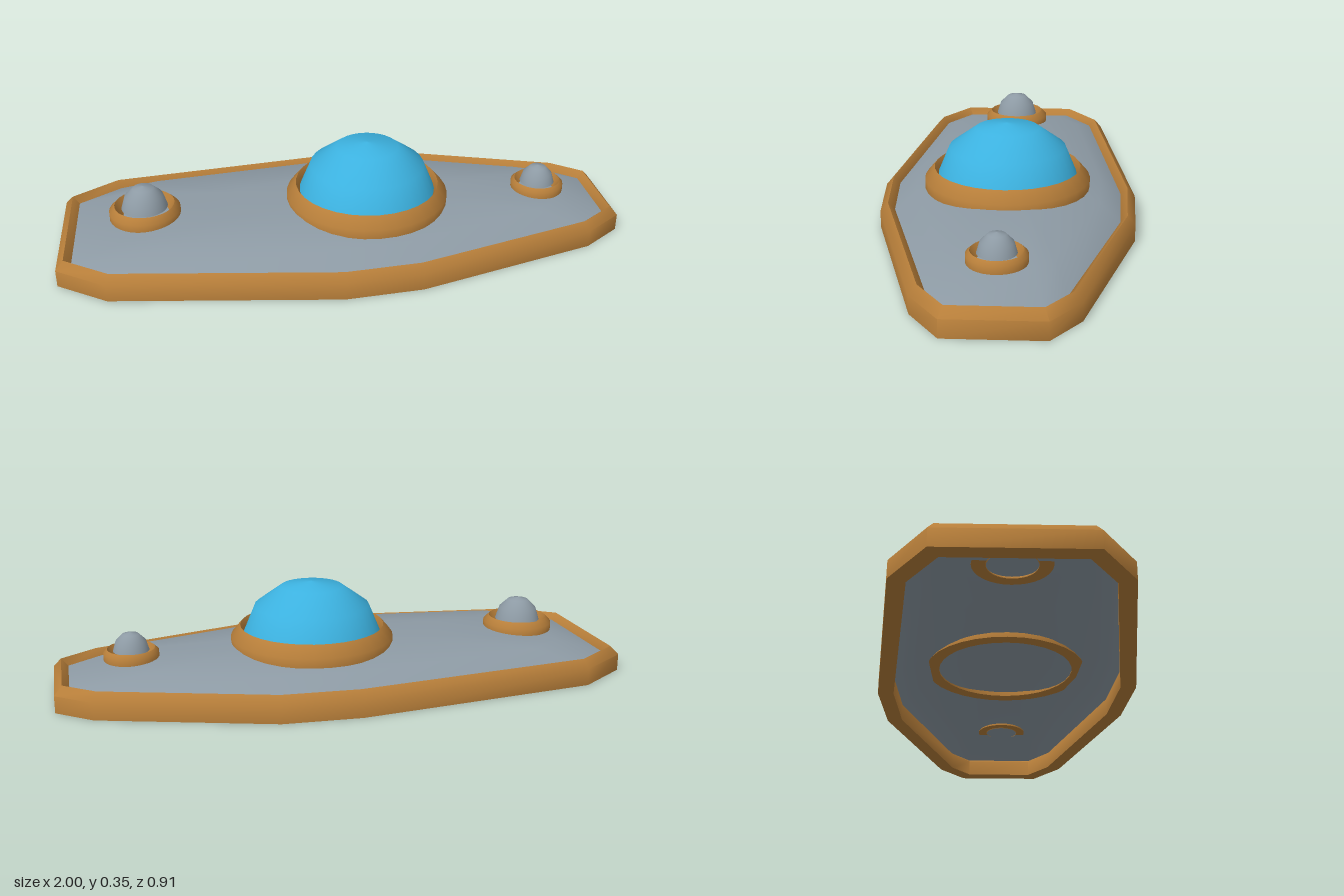
import * as THREE from 'three';
import { toCreasedNormals } from 'three/addons/utils/BufferGeometryUtils.js';

// Hull outline as [x, z], running clockwise seen from above
const outline = [
  [-1, -0.24], [-0.82, -0.36], [0.03, -0.455], [0.3, -0.44], [0.88, -0.255], [1, -0.16],
  [1, 0.15], [0.86, 0.25], [0.22, 0.435], [-0.05, 0.455], [-0.83, 0.35], [-1, 0.235],
];

// Moves every side of the outline inwards by d, with mitred corners
function inset(points, d) {
  const n = points.length;
  const normal = (a, b) => {
    const dx = b[0] - a[0], dz = b[1] - a[1], len = Math.hypot(dx, dz);
    return [-dz / len, dx / len];
  };
  return points.map((p, i) => {
    const n1 = normal(points[(i + n - 1) % n], p);
    const n2 = normal(p, points[(i + 1) % n]);
    const k = d / (1 + n1[0] * n2[0] + n1[1] * n2[1]);
    return [p[0] + (n1[0] + n2[0]) * k, p[1] + (n1[1] + n2[1]) * k];
  });
}

// Skins a list of rings, each { points, y }
function loft(rings, closed) {
  const n = rings[0].points.length;
  const positions = [], index = [];
  for (const { points, y } of rings) for (const [x, z] of points) positions.push(x, y, z);
  const bands = closed ? rings.length : rings.length - 1;
  for (let r = 0; r < bands; r++) {
    const next = (r + 1) % rings.length;
    for (let i = 0; i < n; i++) {
      const j = (i + 1) % n;
      const a = r * n + i, b = r * n + j, c = next * n + i, d = next * n + j;
      index.push(a, c, b, c, d, b);
    }
  }
  const geometry = new THREE.BufferGeometry();
  geometry.setAttribute('position', new THREE.Float32BufferAttribute(positions, 3));
  geometry.setIndex(index);
  return toCreasedNormals(geometry, Math.PI / 3);
}

function lathe(profile) {
  return new THREE.LatheGeometry(profile.map(([r, y]) => new THREE.Vector2(r, y)), 32);
}

export function createModel() {
  const paint = (name, color) =>
    new THREE.MeshStandardMaterial({ name, color, side: THREE.DoubleSide });
  const bronze = paint('bronze', 0xb87f3a);
  const grey = paint('hull grey', 0x8d9aa4);
  const blue = paint('dome blue', 0x3cb2e0);

  const model = new THREE.Group();
  model.name = 'hoverCraft';
  const add = (parent, name, geometry, material) => {
    const mesh = new THREE.Mesh(geometry, material);
    mesh.name = name;
    parent.add(mesh);
    return mesh;
  };

  // Bevelled rim around the hull, as a closed loop of [inset, y]
  const rim = [[0, 0], [0, 0.06], [0.027, 0.09], [0.055, 0.06], [0.055, 0]];
  add(model, 'rim', loft(rim.map(([d, y]) => ({ points: inset(outline, d), y })), true), bronze);

  // Gently domed deck, as rings of [scale, y]
  const edge = inset(outline, 0.05);
  const deck = [[1, 0.065], [0.82, 0.115], [0.4, 0.137], [0, 0.142]];
  add(model, 'deck', loft(deck.map(([s, y]) => (
    { points: edge.map(([x, z]) => [x * s, z * s]), y })), false), grey);

  // A collar with a dome set into it
  function turret(name, x, collar, dome, domeMaterial) {
    const group = new THREE.Group();
    group.name = name;
    group.position.x = x;
    const { outer, top, inner, y0, y1, y2 } = collar;
    add(group, name + 'Collar', toCreasedNormals(lathe([
      [inner, y0], [outer, y0], [outer, y1], [top, y2], [inner, y2 - (top - inner) * 2], [inner, y0],
    ]), Math.PI / 3), bronze);
    const { radius, base, height } = dome;
    const arc = [[1, 0], [0.83, 0.54], [0.45, 0.905], [0, 1]];
    add(group, name + 'Dome',
      lathe(arc.map(([r, h]) => [r * radius, base + h * height])), domeMaterial);
    model.add(group);
  }

  turret('cockpit', 0.095,
    { outer: 0.29, top: 0.256, inner: 0.243, y0: 0.122, y1: 0.155, y2: 0.195 },
    { radius: 0.245, base: 0.165, height: 0.185 }, blue);
  turret('rightPod', -0.7,
    { outer: 0.125, top: 0.105, inner: 0.08, y0: 0.118, y1: 0.145, y2: 0.165 },
    { radius: 0.081, base: 0.153, height: 0.082 }, grey);
  turret('leftPod', 0.735,
    { outer: 0.095, top: 0.082, inner: 0.062, y0: 0.116, y1: 0.142, y2: 0.154 },
    { radius: 0.062, base: 0.145, height: 0.065 }, grey);

  return model;
}
